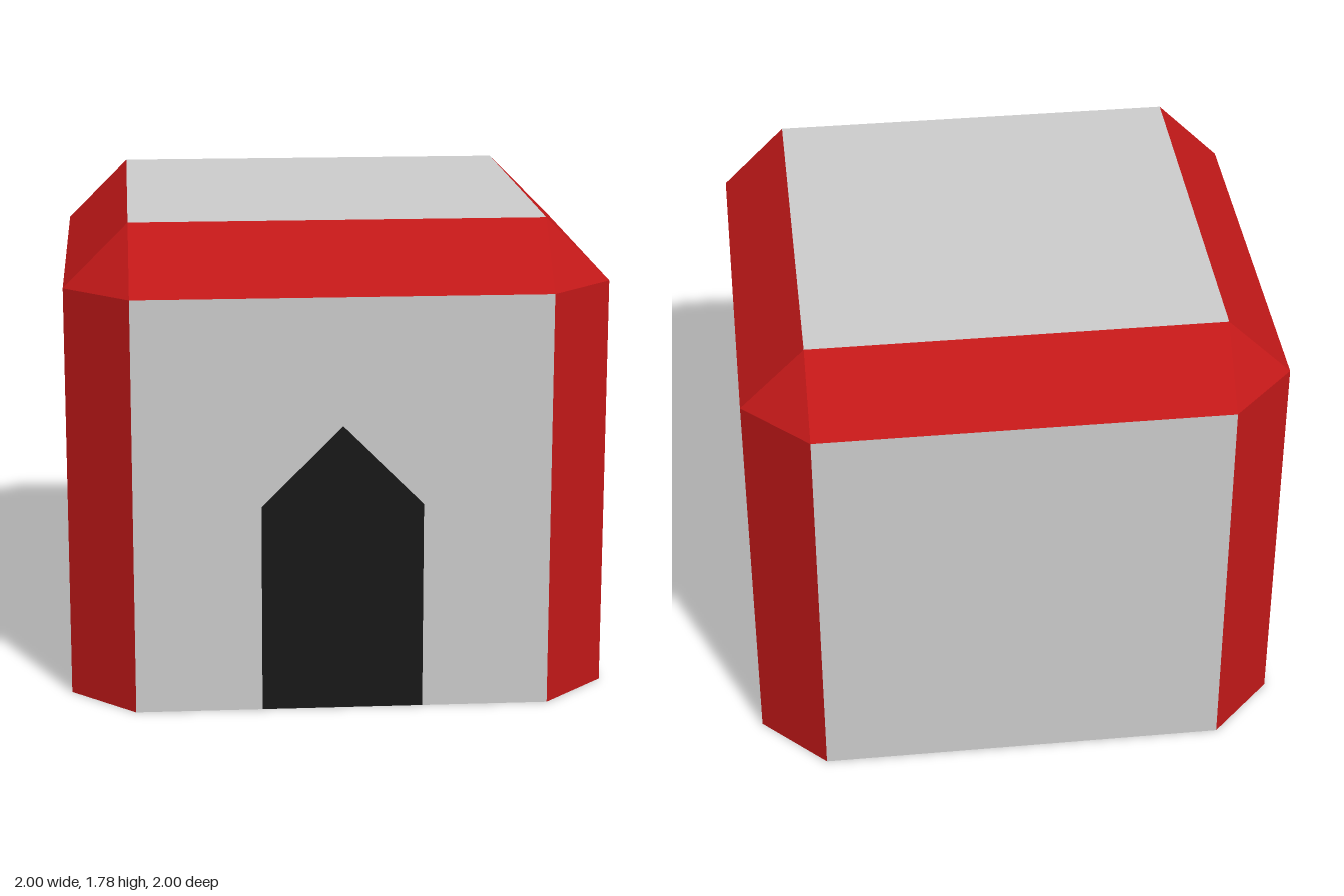
import * as THREE from 'three';

const C = 0.762;    // half width of the flat panels, inside the bevels
const Y = 1.546;    // top of the walls
const H = 1.784;    // height of the roof
const DOOR = { half: 0.297, shoulder: 0.775, apex: 1.072 };

const grey = new THREE.MeshStandardMaterial({ color: 0xcccccc, flatShading: true });
const red = new THREE.MeshStandardMaterial({ color: 0xc21818, flatShading: true });
const black = new THREE.MeshStandardMaterial({ color: 0x181818, flatShading: true });

// Flat convex facet from corners listed anticlockwise as seen from outside
function facet(name, corners, material) {
  const geometry = new THREE.BufferGeometry();
  geometry.setAttribute('position', new THREE.Float32BufferAttribute(corners.flat(), 3));
  const index = [];
  for (let i = 1; i < corners.length - 1; i++) index.push(0, i, i + 1);
  geometry.setIndex(index);
  geometry.computeVertexNormals();
  const mesh = new THREE.Mesh(geometry, material);
  mesh.name = name;
  return mesh;
}

// Flat panel from a 2D outline
function panel(name, outline, material) {
  const shape = new THREE.Shape(outline.map(([x, y]) => new THREE.Vector2(x, y)));
  const mesh = new THREE.Mesh(new THREE.ShapeGeometry(shape), material);
  mesh.name = name;
  return mesh;
}

export function createModel() {
  const model = new THREE.Group();
  const { half, shoulder, apex } = DOOR;
  const doorOutline = [[-half, 0], [-half, shoulder], [0, apex], [half, shoulder], [half, 0]];

  // Four sides: wall, roof bevel, corner post and corner cap
  ['front', 'left', 'back', 'right'].forEach((side, i) => {
    const group = new THREE.Group();
    group.name = side + 'Side';
    const foot = i === 0 ? doorOutline : [];
    const wall = panel('wall', [[-C, 0], ...foot, [C, 0], [C, Y], [-C, Y]], grey);
    wall.position.z = 1;
    group.add(
      wall,
      facet('roofBevel', [[-C, Y, 1], [C, Y, 1], [C, H, C], [-C, H, C]], red),
      facet('cornerPost', [[C, 0, 1], [1, 0, C], [1, Y, C], [C, Y, 1]], red),
      facet('cornerCap', [[C, Y, 1], [1, Y, C], [C, H, C]], red),
    );
    group.rotation.y = i * Math.PI / 2;
    model.add(group);
  });

  // Flat roof
  model.add(facet('roof', [[-C, H, C], [C, H, C], [C, H, -C], [-C, H, -C]], grey));

  // Eight-sided floor, notched where the door block stands
  const floor = panel('floor', [
    [-C, -1], [C, -1], [1, -C], [1, C], [C, 1],
    [half, 1], [0, 1 - half], [-half, 1], [-C, 1], [-1, C], [-1, -C],
  ], grey);
  floor.rotation.x = Math.PI / 2;
  model.add(floor);

  // Pointed door: a wedge set flush into the front wall
  const door = new THREE.Group();
  door.name = 'door';
  const face = panel('doorFace', doorOutline, black);
  face.position.z = 1;
  const base = panel('doorBase', [[-half, 1], [0, 1 - half], [half, 1]], black);
  base.rotation.x = Math.PI / 2;
  door.add(face, base);
  const back = 1 - half;
  for (const s of [1, -1]) {
    const inner = new THREE.Group();
    inner.name = s > 0 ? 'doorInnerLeft' : 'doorInnerRight';
    inner.add(
      facet('doorSide', [[0, 0, back], [0, shoulder, back], [half, shoulder, 1], [half, 0, 1]], black),
      facet('doorSlope', [[0, shoulder, back], [0, apex, 1], [half, shoulder, 1]], black),
    );
    inner.scale.x = s;
    door.add(inner);
  }
  model.add(door);

  return model;
}
